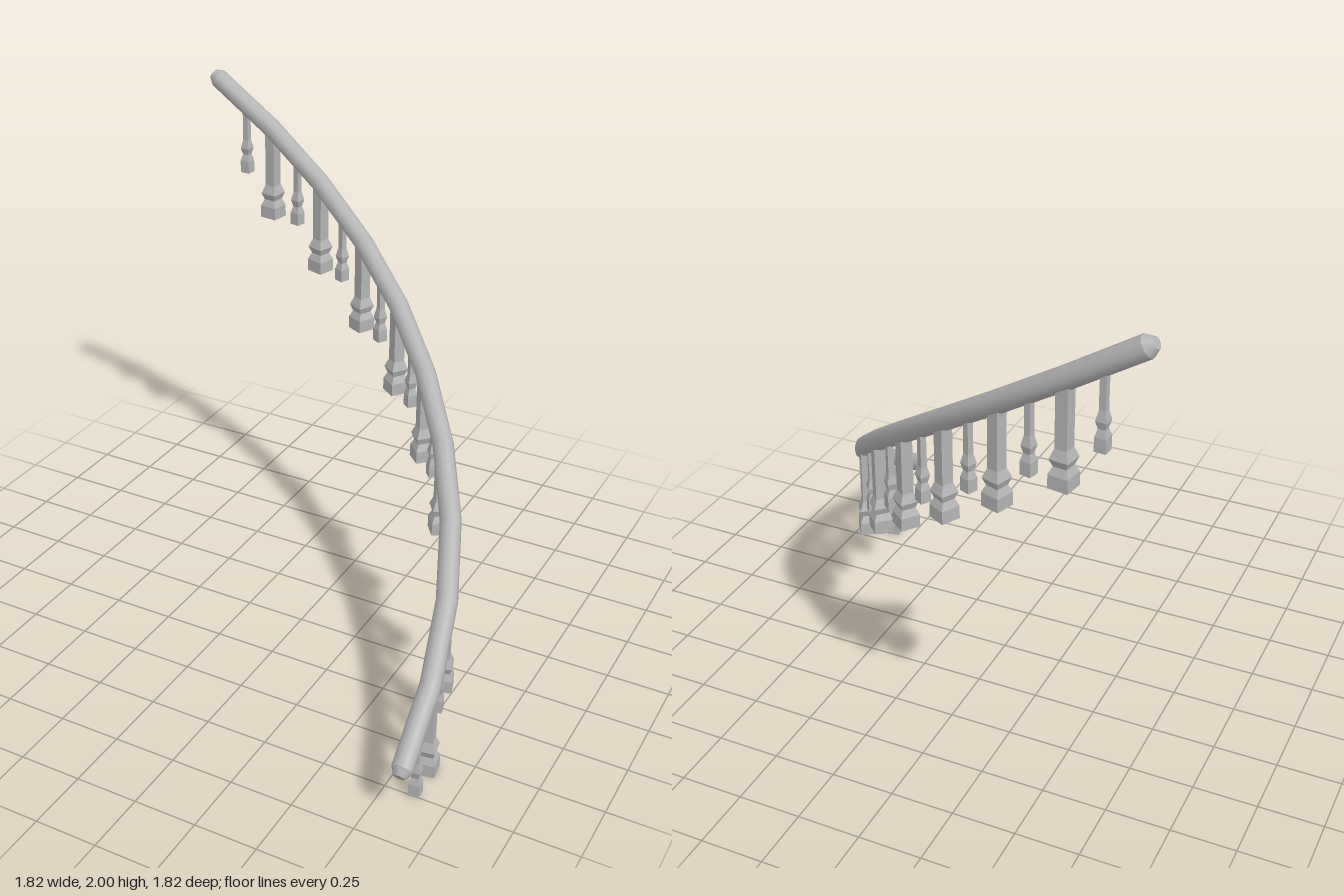
import * as THREE from 'three';

const R = 1.74, STEPS = 10, RISE = 0.1745, TOP = 1.963, TUBE = 0.041;

// Quarter-turn helix, t = 0 at the top and 1 at the bottom
class RailCurve extends THREE.Curve {
  getPoint(t, target = new THREE.Vector3()) {
    const a = t * Math.PI / 2;
    return target.set(-0.87 + R * Math.sin(a), TOP - RISE * STEPS * t, 0.87 - R * Math.cos(a));
  }
}

// Square turned post: stepped base, neck, bulge and plain shaft
function postGeometry(base, neck, bulge, shaft, height) {
  const profile = [[0, 0], [base, 0], [base, 0.052], [neck, 0.08], [bulge, 0.108], [shaft, 0.145], [shaft, height]]
    .map(([half, y]) => new THREE.Vector2(half * Math.SQRT2, y));
  const geo = new THREE.LatheGeometry(profile, 4, Math.PI / 4).toNonIndexed();
  geo.computeVertexNormals();
  return geo;
}

export function createModel() {
  const group = new THREE.Group();
  group.name = 'curvedStairRailing';
  const grey = new THREE.MeshStandardMaterial({ color: 0xb4b4b4 });
  grey.name = 'grey';
  const curve = new RailCurve();

  // Handrail
  const rail = new THREE.Mesh(new THREE.TubeGeometry(curve, STEPS, TUBE, 10), grey);
  rail.name = 'handrail';
  group.add(rail);

  // Chamfered ends of the handrail
  const capGeo = new THREE.CylinderGeometry(0.022, TUBE, 0.03, 10).translate(0, 0.015, 0);
  for (const [t, sign, name] of [[0, -1, 'upperRailEnd'], [1, 1, 'lowerRailEnd']]) {
    const cap = new THREE.Mesh(capGeo, grey);
    cap.name = name;
    cap.position.copy(curve.getPoint(t));
    cap.quaternion.setFromUnitVectors(new THREE.Vector3(0, 1, 0), curve.getTangent(t).multiplyScalar(sign));
    group.add(cap);
  }

  // Posts hang below the rail, each turned to follow the curve
  const addPost = (geo, name, step, bottom) => {
    const t = step / STEPS;
    const post = new THREE.Mesh(geo, grey);
    post.name = name;
    post.position.copy(curve.getPoint(t)).setY(bottom);
    post.rotation.y = -t * Math.PI / 2;
    group.add(post);
  };
  const thin = postGeometry(0.021, 0.013, 0.02, 0.012, 0.305);
  const thick = postGeometry(0.038, 0.026, 0.036, 0.023, 0.39);
  for (let k = 0; k < STEPS; k++) {
    const bottom = RISE * (STEPS - 1 - k);
    addPost(thin, 'thinBaluster', k + 0.5, bottom);
    if (k > 0) addPost(thick, 'thickBaluster', k, bottom);
  }
  return group;
}
